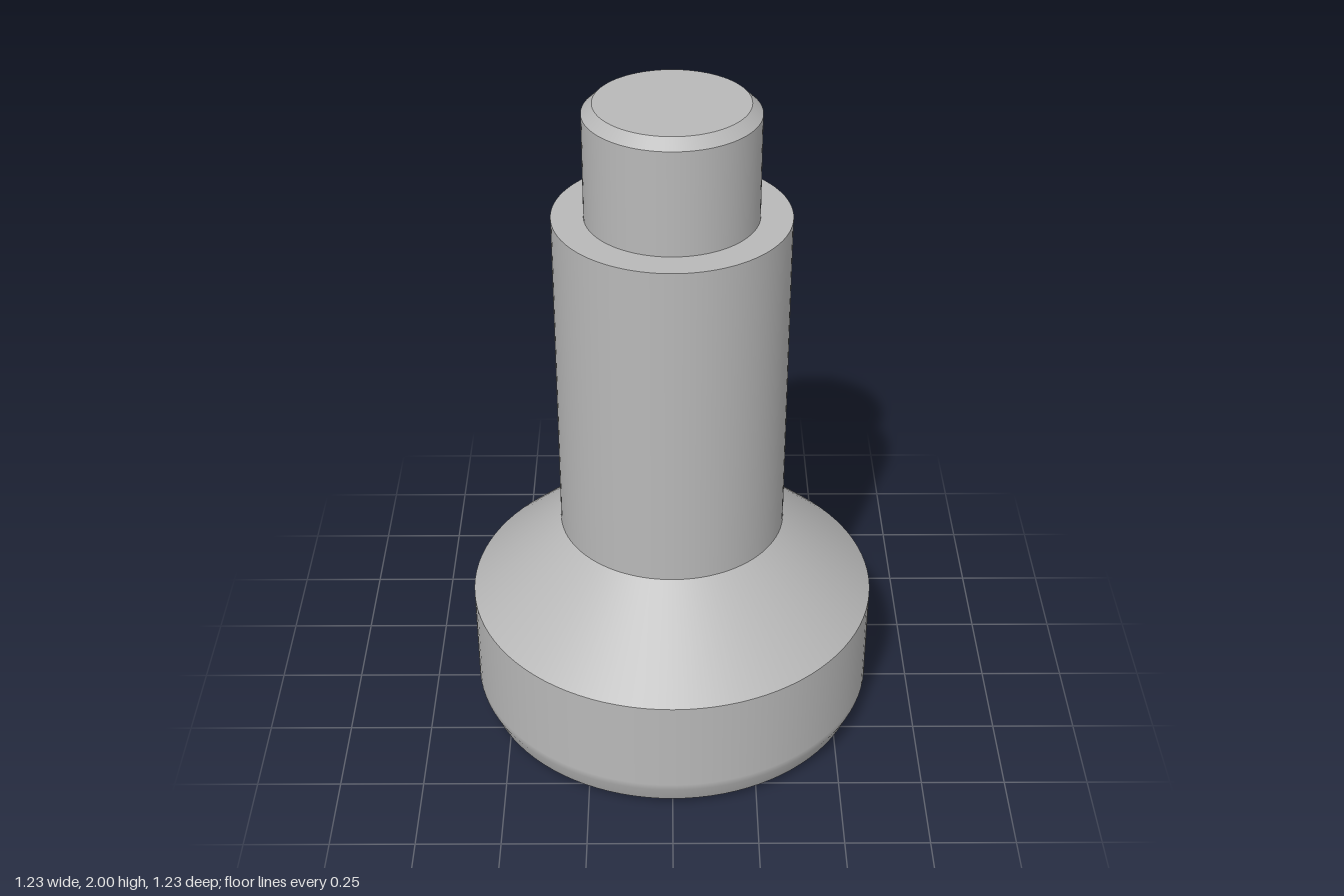
import * as THREE from 'three';

export function createModel() {
  const model = new THREE.Group();
  const steel = new THREE.MeshStandardMaterial({ color: 0xb8b8b8 });
  steel.name = 'steelGrey';

  // Smooth band of revolution; separate bands keep the edges between them sharp.
  const band = (part, ...profile) => {
    const points = profile.map(([r, y]) => new THREE.Vector2(r, y));
    part.add(new THREE.Mesh(new THREE.LatheGeometry(points, 96), steel));
  };
  const addPart = (name) => {
    const part = new THREE.Group();
    part.name = name;
    model.add(part);
    return part;
  };

  // Wide foot with a rounded lower rim
  const foot = addPart('foot');
  const R = 0.613, f = 0.08, c = f * Math.SQRT1_2;
  const rim = [R - f + c, f - c];
  band(foot, [0, 0], [R - f - 0.02, 0], [R - f, 0], rim);
  band(foot, rim, [R, f], [R, f + 0.02], [R, 0.393]);

  // Cone between foot and shaft
  const shoulder = addPart('taperedShoulder');
  band(shoulder, [R, 0.393], [0.337, 0.648]);

  // Main shaft and its flat ledge
  const shaft = addPart('shaft');
  band(shaft, [0.337, 0.648], [0.337, 1.663]);
  band(shaft, [0.337, 1.663], [0.246, 1.663]);

  // Narrow pin with a chamfered tip
  const pin = addPart('pin');
  band(pin, [0.246, 1.663], [0.246, 1.971]);
  band(pin, [0.246, 1.971], [0.216, 2]);
  band(pin, [0.216, 2], [0, 2]);

  return model;
}
